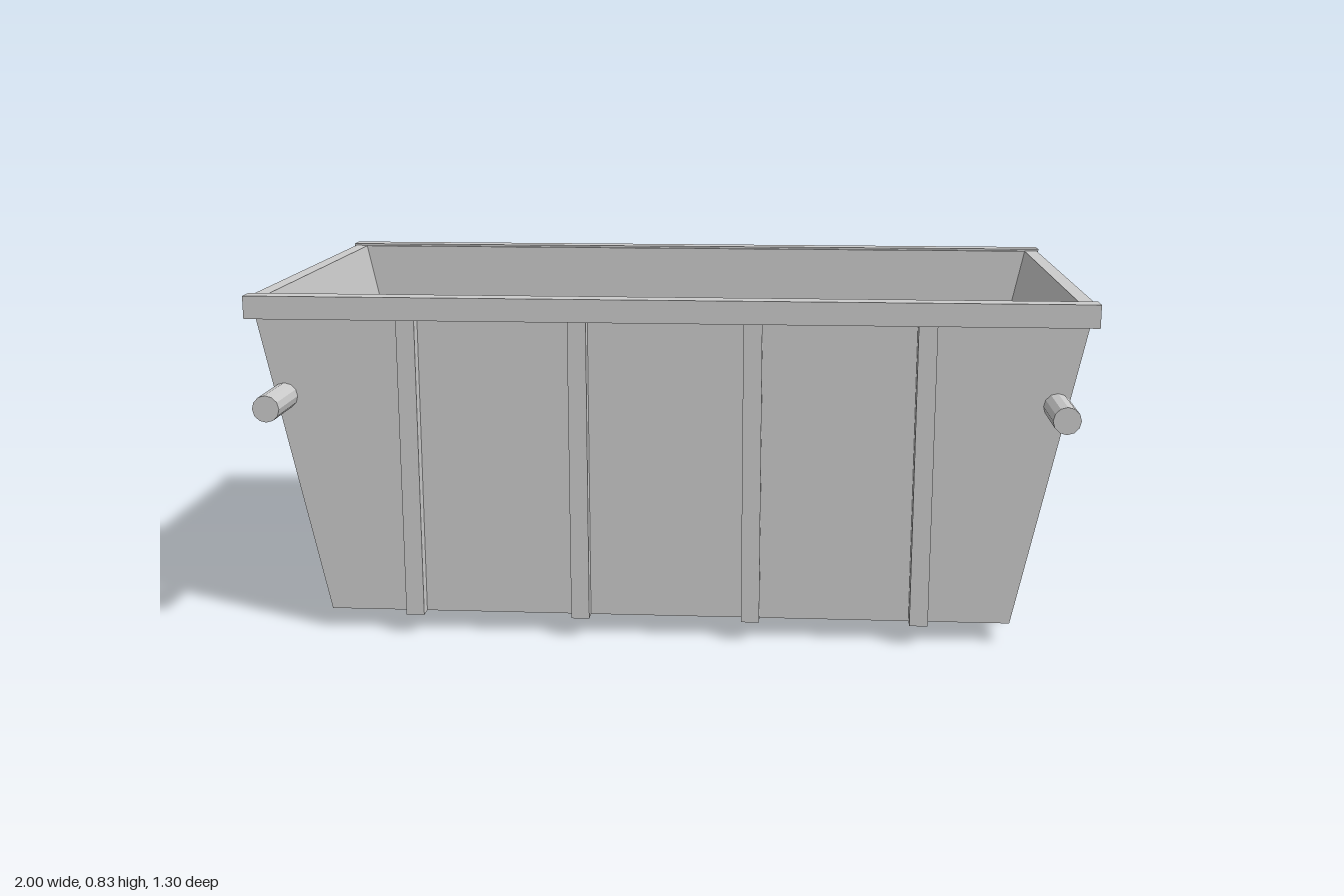
import * as THREE from 'three';

const grey = new THREE.MeshStandardMaterial({ color: 0xcccccc, flatShading: true });
const wood = new THREE.MeshStandardMaterial({ color: 0xa8957c, flatShading: true });

const FLOOR = 0.05, TOP = 0.83, X0 = 0.83, X1 = 0.995, WALL = 0.035;

export function createModel() {
  const model = new THREE.Group();
  const add = (name, geometry, material = grey) => {
    const mesh = new THREE.Mesh(geometry, material);
    mesh.name = name;
    model.add(mesh);
    return mesh;
  };
  // box given by its limits on each axis
  const box = (name, x0, x1, y0, y1, z0, z1, material) =>
    add(name, new THREE.BoxGeometry(x1 - x0, y1 - y0, z1 - z0), material)
      .position.set((x0 + x1) / 2, (y0 + y1) / 2, (z0 + z1) / 2);
  // outline in x and y, extruded from z0 to z1
  const slab = (name, points, z0, z1) => {
    const shape = new THREE.Shape(points.map(([x, y]) => new THREE.Vector2(x, y)));
    const geometry = new THREE.ExtrudeGeometry(shape, { depth: z1 - z0, bevelEnabled: false });
    geometry.translate(0, 0, z0);
    return add(name, geometry);
  };

  // tapered long sides
  const side = [[-X0, FLOOR], [X0, FLOOR], [X1, TOP], [-X1, TOP]];
  slab('frontWall', side, 0.48, 0.5);
  slab('backWall', side, -0.5, -0.48);

  // sloping end walls
  slab('leftEndWall', [[X0 - WALL, FLOOR], [X0, FLOOR], [X1, TOP], [X1 - WALL, TOP]], -0.5, 0.5);
  slab('rightEndWall', [[-X0, FLOOR], [WALL - X0, FLOOR], [WALL - X1, TOP], [-X1, TOP]], -0.5, 0.5);

  // floor and the flat surface of the load
  box('floor', -X0, X0, FLOOR, FLOOR + 0.02, -0.498, 0.498);
  box('load', -0.885, 0.885, 0.47, 0.677, -0.475, 0.475);

  for (const s of [1, -1]) {
    const end = s > 0 ? 'front' : 'back';
    const span = (a, b) => (s > 0 ? [a, b] : [-b, -a]);

    // top rail, upright ribs and ground runner
    box(end + 'Rail', -1, 1, 0.78, 0.835, ...span(0.49, 0.54));
    for (const x of [-0.615, -0.208, 0.205, 0.61])
      box(end + 'Rib', x - 0.022, x + 0.022, FLOOR, 0.78, ...span(0.498, 0.535));
    box(end + 'Runner', -X0, X0, 0, FLOOR + 0.005, ...span(0.265, 0.345));

    // lifting pins
    for (const x of [-0.923, 0.918]) {
      const pin = add(end + 'LiftingPin', new THREE.CylinderGeometry(0.032, 0.032, 0.16, 12));
      pin.rotation.x = Math.PI / 2;
      pin.position.set(x, 0.587, s * 0.57);
    }
  }

  // loose planks: x from, x to, z from, z to, top height
  const planks = [
    [-0.76, -0.12, -0.19, -0.13, 0.705],
    [-0.17, 0.215, -0.225, -0.15, 0.695],
    [-0.10, 0.262, -0.12, -0.045, 0.7],
    [-0.465, 0.075, -0.06, 0.005, 0.692],
    [-0.59, 0.16, 0.01, 0.055, 0.698],
    [-0.66, 0.09, 0.015, 0.075, 0.703],
    [-0.695, -0.215, 0.15, 0.23, 0.697],
    [0.25, 1.0, 0.145, 0.2, 0.694],
    [0.44, 0.845, 0.19, 0.265, 0.69],
  ];
  for (const [x0, x1, z0, z1, top] of planks) box('plank', x0, x1, top - 0.018, top, z0, z1, wood);

  return model;
}
